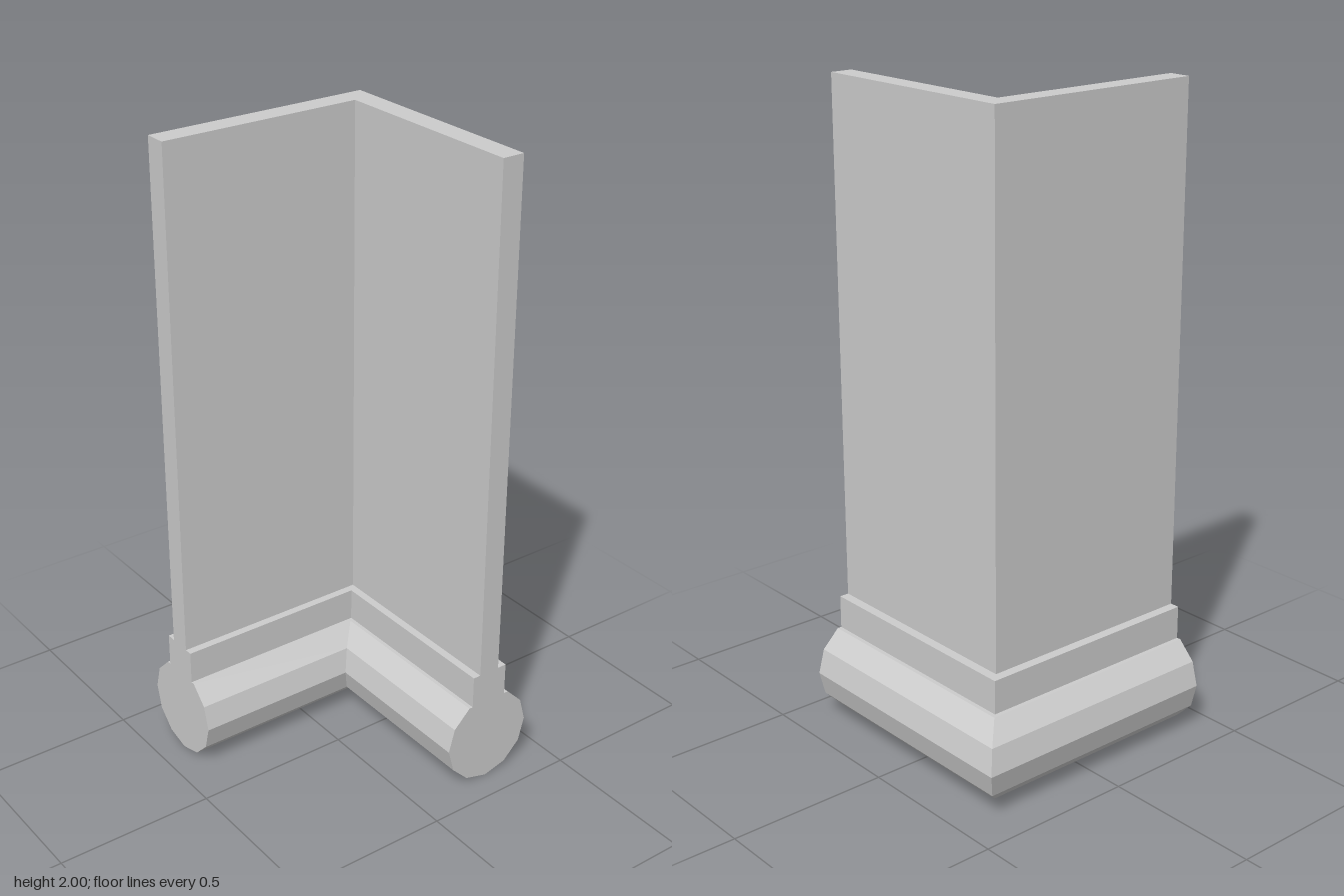
import * as THREE from 'three';

const END = 0.414; // where both arms are cut off

// Sweeps a counter-clockwise profile of [offset, height] along a mitred L and caps both ends.
// The closing edge of the profile is left open, as it is covered by the neighbouring part.
function sweepCorner(name, profile, material) {
  const sections = [
    profile.map(([u, y]) => [u, y, END]),
    profile.map(([u, y]) => [u, y, u]),
    profile.map(([u, y]) => [END, y, u]),
  ];
  const positions = [];
  const tri = (a, b, c) => positions.push(...a, ...b, ...c);

  for (let s = 0; s < 2; s++) {
    const near = sections[s], far = sections[s + 1];
    for (let i = 0; i < profile.length - 1; i++) {
      tri(near[i], far[i], near[i + 1]);
      tri(near[i + 1], far[i], far[i + 1]);
    }
  }

  const outline = profile.map(([u, y]) => new THREE.Vector2(u, y));
  for (const [a, b, c] of THREE.ShapeUtils.triangulateShape(outline, [])) {
    tri(sections[0][a], sections[0][b], sections[0][c]);
    tri(sections[2][c], sections[2][b], sections[2][a]);
  }

  const geometry = new THREE.BufferGeometry();
  geometry.setAttribute('position', new THREE.Float32BufferAttribute(positions, 3));
  geometry.computeVertexNormals();
  const mesh = new THREE.Mesh(geometry, material);
  mesh.name = name;
  return mesh;
}

// Upright rectangular profile, open at the bottom
const slab = (outer, inner, bottom, top) => [[inner, bottom], [inner, top], [outer, top], [outer, bottom]];

export function createModel() {
  const group = new THREE.Group();
  group.name = 'cornerWall';
  const material = new THREE.MeshStandardMaterial({ color: 0xcccccc, flatShading: true });

  // Round foot moulding: twelve-sided, with its top flattened under the plinth
  const radius = 0.151, centreU = -0.263, centreY = 0.151;
  const round = [];
  for (let deg = 120; deg <= 420; deg += 30) {
    const a = THREE.MathUtils.degToRad(deg);
    round.push([centreU + radius * Math.cos(a), centreY + radius * Math.sin(a)]);
  }
  const footTop = round[0][1];
  const foot = [[-0.325, footTop], ...round, [-0.2, footTop]];

  group.add(
    sweepCorner('footMoulding', foot, material),
    sweepCorner('plinth', slab(-0.325, -0.2, footTop, 0.387), material),
    sweepCorner('wall', slab(-0.295, -0.225, 0.387, 2), material),
  );
  return group;
}
